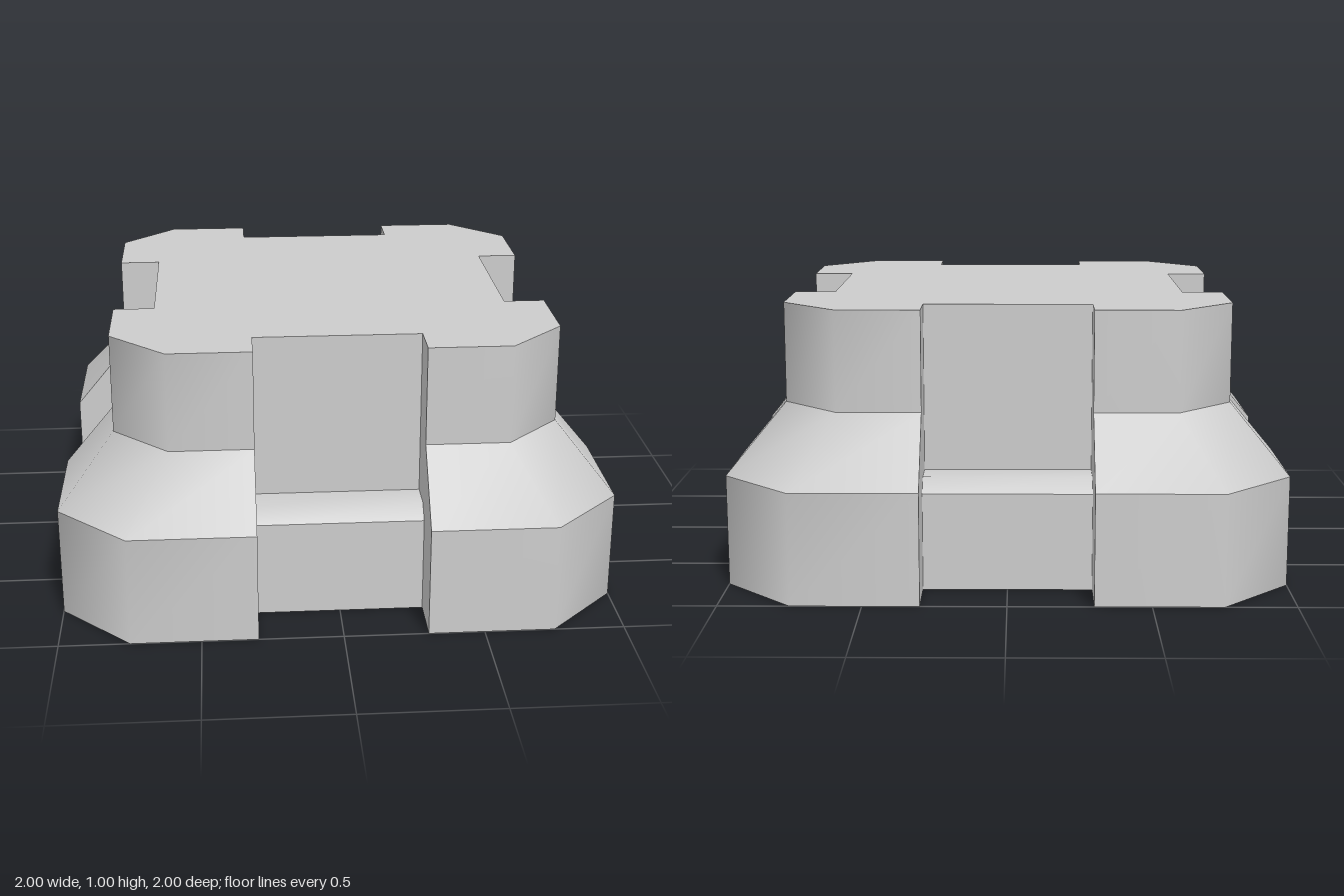
import * as THREE from 'three';

const HALF_NOTCH = 0.3;
const material = new THREE.MeshStandardMaterial({ color: 0xcccccc });

// Surface between rows of points (rows go up or inward, points run left to right); smooth inside a strip
function strip(rows) {
  const n = rows[0].length, index = [];
  for (let r = 0; r < rows.length - 1; r++) {
    for (let i = 0; i < n - 1; i++) {
      const a = r * n + i, b = a + n;
      index.push(a, a + 1, b + 1, a, b + 1, b);
    }
  }
  const geometry = new THREE.BufferGeometry();
  geometry.setAttribute('position', new THREE.Float32BufferAttribute(rows.flat(2), 3));
  geometry.setIndex(index);
  geometry.computeVertexNormals();
  return geometry;
}

function flat(points) {
  return new THREE.ShapeGeometry(new THREE.Shape(points.map(([x, y]) => new THREE.Vector2(x, y))));
}

function add(parent, name, geometry) {
  const mesh = new THREE.Mesh(geometry, material);
  mesh.name = name;
  parent.add(mesh);
}

// Chamfered corner path at one height
const cornerRow = (out, cut, y) =>
  [[HALF_NOTCH, y, out], [cut, y, out], [out, y, cut], [out, y, HALF_NOTCH]];

// Row across a notch, at depth z
const notchRow = ([z, y]) => [[-HALF_NOTCH, y, z], [HALF_NOTCH, y, z]];

// Full chamfered square with a notch in the middle of every side
function outline(out, cut, notch) {
  const h = HALF_NOTCH, points = [];
  let quarter = [[notch, h], [out, h], [out, cut], [cut, out], [h, out], [h, notch]];
  for (let i = 0; i < 4; i++) {
    points.push(...quarter);
    quarter = quarter.map(([x, y]) => [-y, x]);
  }
  return points;
}

export function createModel() {
  const model = new THREE.Group();
  model.name = 'notchedBlock';

  const ledge = [[0.81, 0], [0.81, 0.35], [0.76, 0.4], [0.65, 0.4], [0.65, 1]];
  const cheek = [[1, 0], [1, 0.4], [0.8, 0.64], [0.8, 1], ...[...ledge].reverse()];
  const bands = [[1, 0.75, 0], [1, 0.75, 0.4], [0.8, 0.6, 0.64], [0.8, 0.6, 1]];
  const bandNames = ['cornerBase', 'cornerSlope', 'cornerTop'];

  for (let i = 0; i < 4; i++) {
    const side = new THREE.Group();
    side.name = 'side' + (i + 1);
    side.rotation.y = i * Math.PI / 2;

    // Corner post: base, slope and upper wall
    bandNames.forEach((name, b) =>
      add(side, name, strip([cornerRow(...bands[b]), cornerRow(...bands[b + 1])])));

    // Notch: lower wall, bevelled ledge and recessed wall
    add(side, 'notchBase', strip(ledge.slice(0, 2).map(notchRow)));
    add(side, 'notchLedge', strip(ledge.slice(1, 4).map(notchRow)));
    add(side, 'notchWall', strip(ledge.slice(3).map(notchRow)));

    // Cheeks on both sides of the notch
    for (const s of [-1, 1]) {
      const geometry = flat(cheek.map(([z, y]) => [z * s, y]));
      geometry.rotateY(-s * Math.PI / 2).translate(s * HALF_NOTCH, 0, 0);
      add(side, 'notchCheek', geometry);
    }
    model.add(side);
  }

  // Top and bottom faces
  add(model, 'top', flat(outline(0.8, 0.6, 0.65)).rotateX(-Math.PI / 2).translate(0, 1, 0));
  add(model, 'bottom', flat(outline(1, 0.75, 0.81)).rotateX(Math.PI / 2));
  return model;
}
